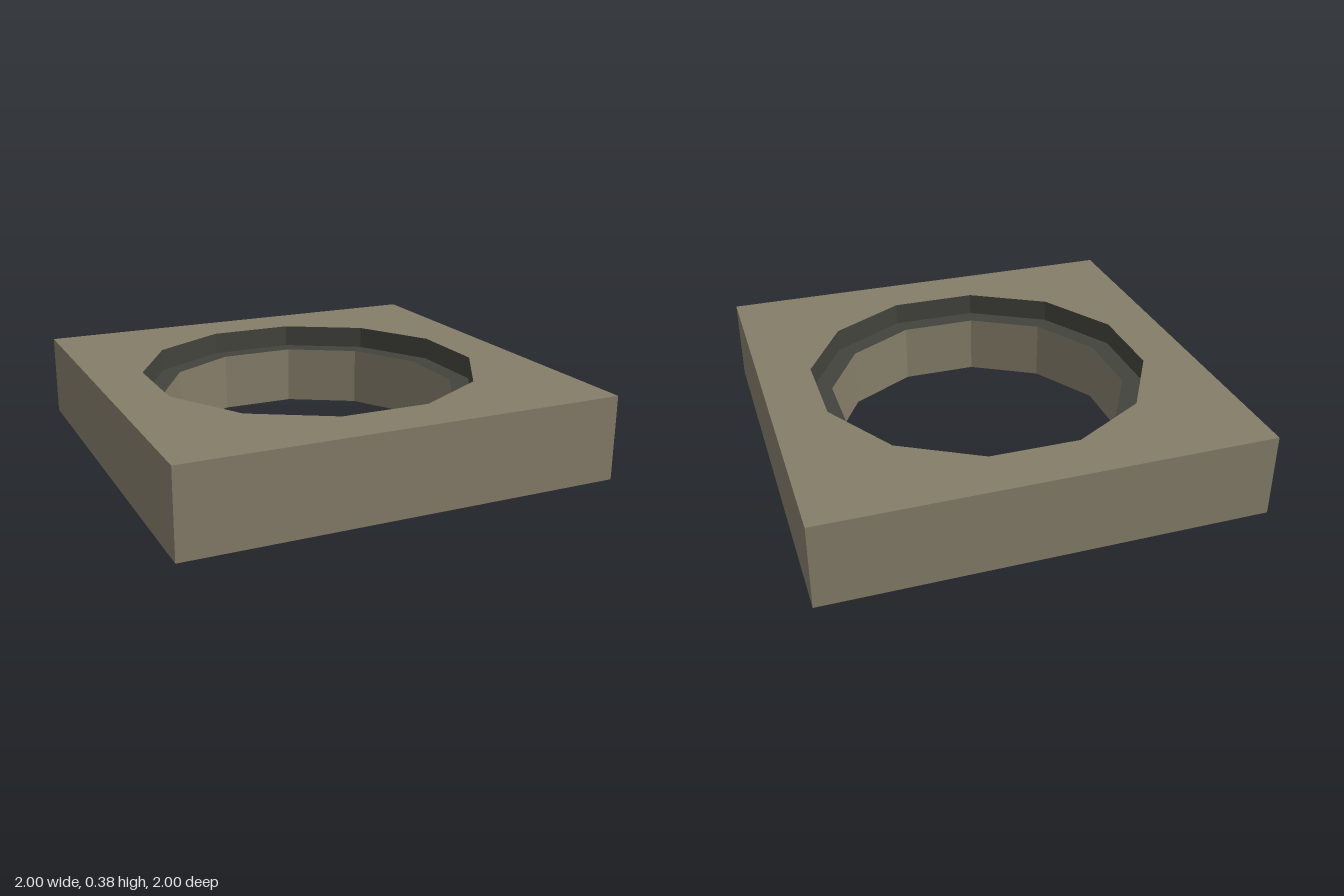
import * as THREE from 'three';

const HEIGHT = 0.385, LEDGE_Y = 0.28;
const SIDES = 12;
const radius = (apothem) => apothem / Math.cos(Math.PI / SIDES);
const OUTER = radius(0.757), INNER = radius(0.667);

// Regular polygon outline with its flats facing the axes
function polygon(r, sides) {
  return Array.from({ length: sides }, (_, i) => {
    const a = ((i + 0.5) / sides) * Math.PI * 2;
    return new THREE.Vector2(r * Math.cos(a), r * Math.sin(a));
  });
}

// Flat horizontal face with a polygonal hole
function plate(outline, hole, y, up) {
  const shape = new THREE.Shape(outline);
  shape.holes.push(new THREE.Path(hole));
  return new THREE.ShapeGeometry(shape).rotateX(up ? -Math.PI / 2 : Math.PI / 2).translate(0, y, 0);
}

// Open faceted wall, facing outward or inward
function wall(r, sides, y0, y1, inward) {
  const g = new THREE.CylinderGeometry(r, r, y1 - y0, sides, 1, true, Math.PI / sides);
  g.translate(0, (y0 + y1) / 2, 0);
  if (inward) g.scale(-1, 1, 1);
  const flat = g.toNonIndexed();
  flat.computeVertexNormals();
  return flat;
}

export function createModel() {
  const stone = new THREE.MeshStandardMaterial({ color: 0x857d69 });
  stone.name = 'stone';
  const darkStone = new THREE.MeshStandardMaterial({ color: 0x42433c });
  darkStone.name = 'dark stone';

  const model = new THREE.Group();
  model.name = 'recessedBlock';
  const add = (name, geometry, material) => {
    const mesh = new THREE.Mesh(geometry, material);
    mesh.name = name;
    model.add(mesh);
  };

  const square = polygon(Math.SQRT2, 4);
  const outerRim = polygon(OUTER, SIDES), innerRim = polygon(INNER, SIDES);

  // Square block
  add('blockTop', plate(square, outerRim, HEIGHT, true), stone);
  add('blockBottom', plate(square, innerRim, 0, false), stone);
  add('blockSides', wall(Math.SQRT2, 4, 0, HEIGHT, false), stone);

  // Stepped opening: dark recess above, plain bore below
  add('recessWall', wall(OUTER, SIDES, LEDGE_Y, HEIGHT, true), darkStone);
  add('recessLedge', plate(outerRim, innerRim, LEDGE_Y, true), darkStone);
  add('boreWall', wall(INNER, SIDES, 0, LEDGE_Y, true), stone);

  return model;
}
